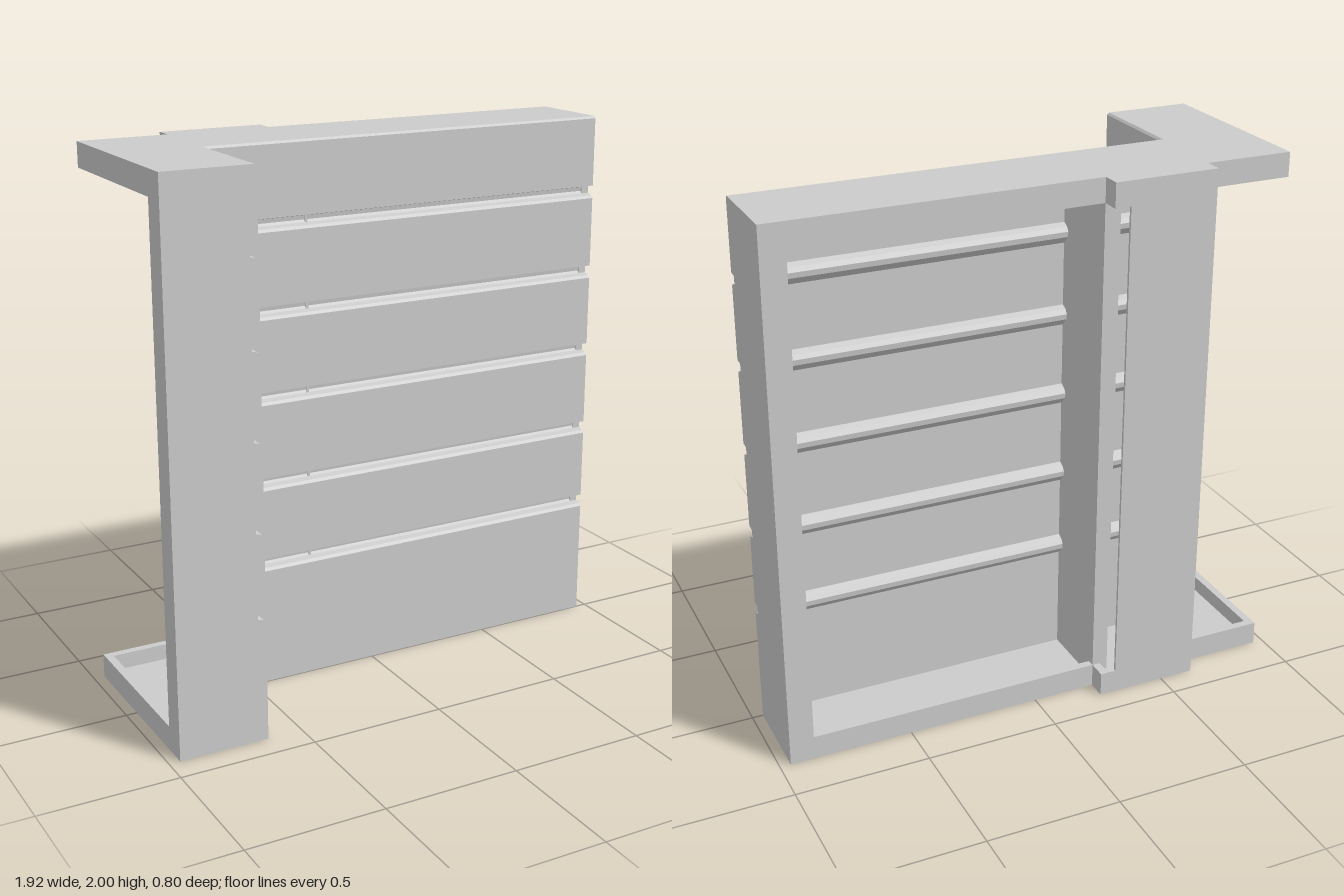
import * as THREE from 'three';

const H = 2, T = 0.03, LIP = 0.09;           // height, shell thickness, lip width
const GROOVES = [0.47, 0.78, 1.1, 1.41, 1.72];

// Section of the siding: grooves on the outside, matching ridges inside
function sidingShape() {
  const points = [[0, 0]];
  for (const g of GROOVES) {
    points.push([0, g - 0.03], [-0.008, g - 0.02], [-0.03, g - 0.014],
      [-0.036, g - 0.005], [-0.034, g + 0.01], [-0.025, g + 0.016], [0, g + 0.018]);
  }
  points.push([0, H - 0.008], [-0.008, H], [-T, H]);
  for (const g of [...GROOVES].reverse()) {
    points.push([-T, g + 0.035], [-T - 0.022, g + 0.024], [-T - 0.032, g + 0.008],
      [-T - 0.03, g - 0.012], [-T - 0.015, g - 0.027], [-T, g - 0.042]);
  }
  points.push([-T, 0]);
  return new THREE.Shape(points.map(([u, y]) => new THREE.Vector2(u, y)));
}

export function createModel() {
  const model = new THREE.Group();
  const material = new THREE.MeshStandardMaterial({ color: 0xcccccc, flatShading: true });

  function add(name, geometry) {
    const mesh = new THREE.Mesh(geometry, material);
    mesh.name = name;
    model.add(mesh);
    return mesh;
  }

  // Box given by its limits on each axis
  function box(name, x0, x1, y0, y1, z0, z1) {
    add(name, new THREE.BoxGeometry(x1 - x0, y1 - y0, z1 - z0))
      .position.set((x0 + x1) / 2, (y0 + y1) / 2, (z0 + z1) / 2);
  }

  // Siding panel, turned so its grooved side faces the wanted way
  function siding(name, length, x, z, turn) {
    const panel = add(name, new THREE.ExtrudeGeometry(sidingShape(),
      { depth: length, bevelEnabled: false }));
    panel.position.set(x, 0, z);
    panel.rotation.y = turn;
  }
  siding('mainWallSiding', 1.62, 0.96, 0, -Math.PI / 2);
  siding('wingSiding', 0.46, -0.63, -0.06, 0);
  siding('pilasterSiding', 0.37, -0.63, -0.03, Math.PI);

  // Thin floor and ceiling of the hollow shell, with lips around the open sides
  for (const [place, y, lip] of [['bottom', 0, 0], ['top', H - T, H - LIP]]) {
    box(place + 'MainPlate', -0.96, 0.96, y, y + T, -0.33, -0.03);
    box(place + 'WingPlate', -0.96, -0.66, y, y + T, -0.03, 0.4);
    box(place + 'PilasterPlate', -0.63, -0.24, y, y + T, -0.4, -0.33);
    box(place + 'MainLip', -0.24, 0.96, lip, lip + LIP, -0.33, -0.3);
    box(place + 'CornerLip', -0.96, -0.63, lip, lip + LIP, -0.33, -0.3);
    box(place + 'WingLip', -0.96, -0.93, lip, lip + LIP, -0.3, 0.4);
    box(place + 'PilasterSideLip', -0.27, -0.24, lip, lip + LIP, -0.4, -0.33);
    box(place + 'PilasterBackLip', -0.3, -0.27, lip, lip + LIP, -0.4, -0.37);
  }

  // End walls and their upright lips
  box('mainEndWall', 0.93, 0.96, T, H - T, -0.33, -0.03);
  box('mainEndLip', 0.87, 0.93, LIP, H - LIP, -0.33, -0.3);
  box('wingEndWall', -0.96, -0.66, T, H - T, 0.37, 0.4);
  box('wingEndLip', -0.96, -0.93, LIP, H - LIP, 0.31, 0.37);

  // Inner end wall beside the pilaster, with its lip
  box('innerEndWall', -0.25, -0.24, T, H - T, -0.33, -0.03);
  box('innerEndLip', -0.3, -0.25, T, H - T, -0.33, -0.32);

  // Thin raised plate on the back, leaving a slit beside the inner wall
  box('pilasterBack', -0.63, -0.3, 0, H, -0.4, -0.39);

  return model;
}
